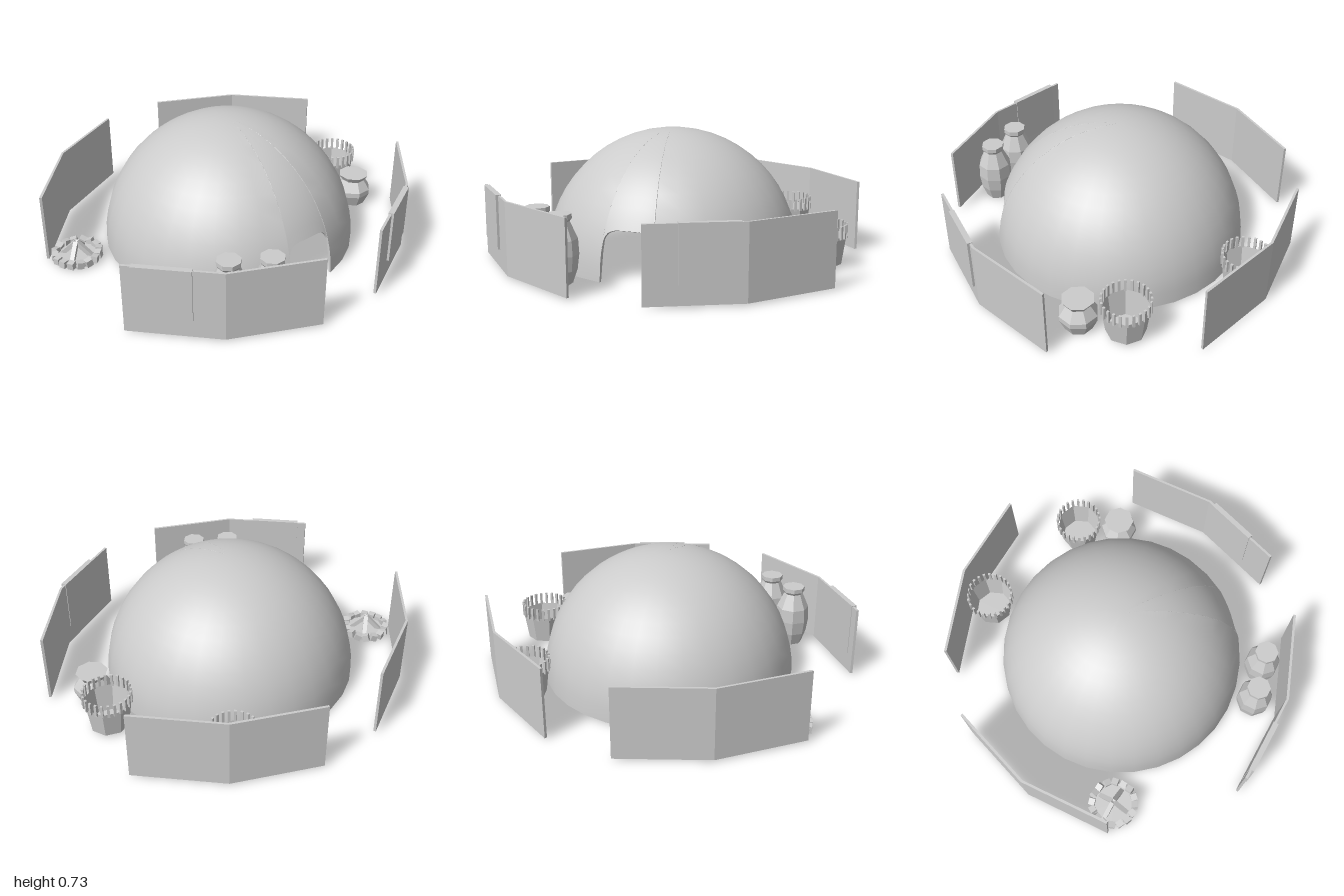
import * as THREE from 'three';
import { toCreasedNormals } from 'three/addons/utils/BufferGeometryUtils.js';

const smooth = new THREE.MeshStandardMaterial({ color: 0xcccccc });
const flat = new THREE.MeshStandardMaterial({ color: 0xcccccc, flatShading: true, side: THREE.DoubleSide });

function add(parent, name, geometry, material = flat, x = 0, y = 0, z = 0) {
  const mesh = new THREE.Mesh(geometry, material);
  mesh.name = name;
  mesh.position.set(x, y, z);
  parent.add(mesh);
  return mesh;
}

// Hollow hemisphere; columns over the doorway start at the arch instead of the ground
function domeGeometry() {
  const R = 0.72, thick = 0.012, half = 0.205, rows = 14, doorSteps = 16, sideSteps = 30;
  const columns = [];
  for (let i = 0; i <= doorSteps; i++) {
    const t = -Math.cos(Math.PI * i / doorSteps);
    const y = 0.15 + 0.122 * Math.pow(Math.max(0, 1 - t ** 4), 0.25);
    columns.push([t * half, Math.asin(y / R)]);
  }
  for (let i = 0; i <= sideSteps; i++) {
    columns.push([half + (2 * Math.PI - 2 * half) * i / sideSteps, 0]);
  }
  const positions = [], index = [], n = 2 * (rows + 1);
  for (const [a, low] of columns) {
    for (let k = 0; k < n; k++) {
      const outer = k <= rows;
      const f = (outer ? k : n - 1 - k) / rows;
      const e = Math.PI / 2 + (low - Math.PI / 2) * f;
      const r = outer ? R : R - thick;
      positions.push(r * Math.cos(e) * Math.sin(a), r * Math.sin(e), r * Math.cos(e) * Math.cos(a));
    }
  }
  for (let j = 0; j < columns.length; j++) {
    const p = j * n, q = ((j + 1) % columns.length) * n;
    for (let k = 0; k < n - 1; k++) {
      index.push(p + k, p + k + 1, q + k + 1, p + k, q + k + 1, q + k);
    }
  }
  const g = new THREE.BufferGeometry();
  g.setAttribute('position', new THREE.Float32BufferAttribute(positions, 3));
  g.setIndex(index);
  return toCreasedNormals(g, 0.6);
}

// Bent wall seen from above, mirrored into each corner by sx and sz
function wallGeometry(sx, sz) {
  const plan = [[1, 0.395], [0.65, 0.77], [0.195, 0.99], [0.19, 0.977], [0.645, 0.757], [0.988, 0.387]];
  const shape = new THREE.Shape(plan.map(([x, z]) => new THREE.Vector2(x * sx, z * sz)));
  const g = new THREE.ExtrudeGeometry(shape, { depth: 0.4, bevelEnabled: false });
  return g.rotateX(Math.PI / 2).translate(0, 0.41, 0);
}

// Eight-sided turned shape
function lathe(profile, turn = Math.PI / 8) {
  return new THREE.LatheGeometry(profile.map(([r, y]) => new THREE.Vector2(r, y)), 8).rotateY(turn);
}

function makeBasket(x, z) {
  const basket = new THREE.Group();
  basket.name = 'basket';
  basket.position.set(x, 0, z);
  add(basket, 'basketBody', lathe([[0, 0.02], [0.108, 0.02], [0.13, 0.18]], 0));
  const count = 24;
  for (let i = 0; i < count; i++) {
    const a = 2 * Math.PI * i / count;
    const prong = add(basket, 'basketProng', new THREE.BoxGeometry(0.014, 0.075, 0.012), flat,
      0.13 * Math.sin(a), 0.208, 0.13 * Math.cos(a));
    prong.rotation.y = a;
  }
  return basket;
}

function makeFirePit(x, z) {
  const pit = new THREE.Group();
  pit.name = 'firePit';
  pit.position.set(x, 0, z);
  add(pit, 'ashBed', new THREE.CylinderGeometry(0.12, 0.12, 0.02, 16), flat, 0, 0.015, 0);
  // ring of stones
  const count = 16;
  for (let i = 0; i < count; i++) {
    const a = 2 * Math.PI * i / count;
    const stone = add(pit, 'stone', new THREE.BoxGeometry(0.038, 0.04, 0.036), flat,
      0.122 * Math.sin(a), 0.03, 0.122 * Math.cos(a));
    stone.rotation.set(0.2 * Math.sin(i * 2.3), a + 0.3 * Math.sin(i * 1.7), 0.2 * Math.cos(i * 3.1));
  }
  // logs leaning together
  for (let i = 0; i < 4; i++) {
    const lean = new THREE.Group();
    lean.name = 'leaningLog';
    lean.rotation.y = 0.7 + i * Math.PI / 2;
    const log = add(lean, 'log', new THREE.BoxGeometry(0.025, 0.12, 0.025), flat, 0.045, 0.06, 0);
    log.rotation.z = 0.8;
    pit.add(lean);
  }
  return pit;
}

export function createModel() {
  const model = new THREE.Group();
  model.name = 'domeHut';

  add(model, 'dome', domeGeometry(), smooth, -0.004, 0.01, 0);

  for (const sx of [-1, 1]) {
    for (const sz of [-1, 1]) add(model, 'wall', wallGeometry(sx, sz));
  }

  // square panels hung on the front walls
  for (const [x, z, dx, dz] of [[-0.86, 0.542, 0.35, 0.375], [0.483, 0.848, 0.455, -0.22]]) {
    const panel = add(model, 'wallPanel', new THREE.BoxGeometry(0.3, 0.3, 0.03), flat, x, 0.265, z);
    panel.rotation.y = -Math.atan2(dz, dx);
  }

  // tall jars beside the door
  const jar = [[0, 0.005], [0.065, 0.005], [0.09, 0.08], [0.1, 0.16], [0.095, 0.24], [0.055, 0.33],
    [0.066, 0.345], [0.066, 0.37], [0, 0.37]];
  for (const [x, z] of [[-0.53, 0.645], [-0.345, 0.762]]) add(model, 'tallJar', lathe(jar), flat, x, 0, z);

  // squat pot
  const pot = [[0, 0], [0.078, 0], [0.108, 0.07], [0.108, 0.1], [0.07, 0.158], [0.09, 0.19], [0, 0.19]];
  add(model, 'squatPot', lathe(pot), flat, 0.8, 0, 0.235);

  model.add(makeBasket(0.86, -0.01), makeBasket(0.535, -0.665), makeFirePit(-0.85, -0.315));
  return model;
}
